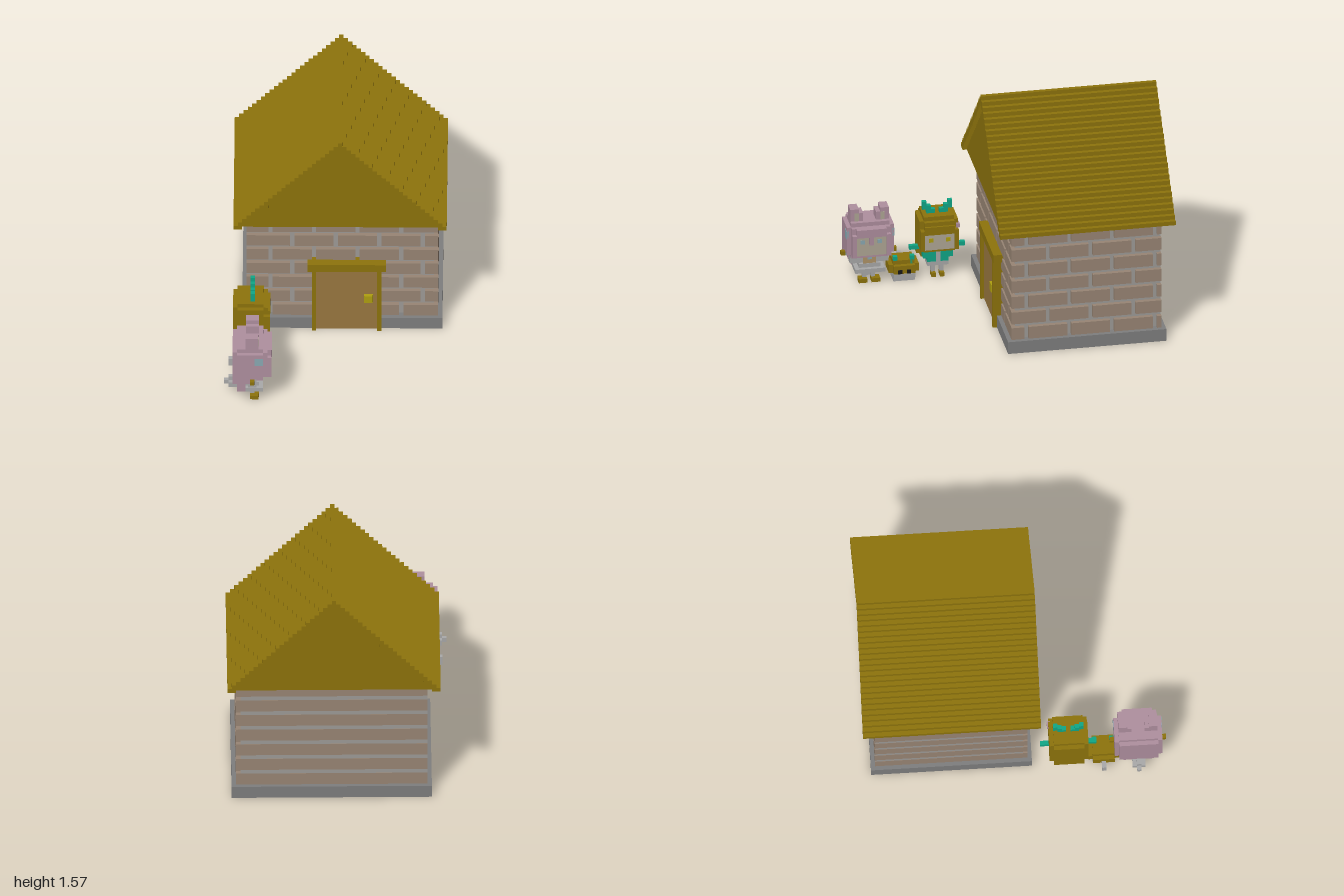
import * as THREE from 'three';

const V = 2 / 70; // size of one voxel; everything below is in voxel units

const mats = {};
for (const [name, color] of Object.entries({
  brick: 0x998675, mortar: 0x9f9c98, stone: 0x7f7f7f, gold: 0x8e740c, door: 0x9a7840,
  knob: 0xb0a010, pink: 0xb090a0, skin: 0xb0a896, green: 0x10a888, white: 0xaaaaaa,
  blue: 0x8aaab4, tan: 0xb09468, black: 0x181818,
})) mats[name] = new THREE.MeshStandardMaterial({ color, flatShading: true });

// Box given by its two limits along each axis
function box(parent, name, mat, x0, x1, y0, y1, z0, z1) {
  const mesh = new THREE.Mesh(new THREE.BoxGeometry(x1 - x0, y1 - y0, z1 - z0), mats[mat]);
  mesh.position.set((x0 + x1) / 2, (y0 + y1) / 2, (z0 + z1) / 2);
  mesh.name = name;
  parent.add(mesh);
}

// The same box on both sides of z = 0
function pair(parent, name, mat, x0, x1, y0, y1, z0, z1) {
  box(parent, name, mat, x0, x1, y0, y1, z0, z1);
  box(parent, name, mat, x0, x1, y0, y1, -z1, -z0);
}

// Voxel block with stepped edges, z from -w to w
function blob(parent, name, mat, x0, x1, y0, y1, w) {
  box(parent, name, mat, x0, x1, y0 + 1, y1 - 1, 1 - w, w - 1);
  box(parent, name, mat, x0 + 1, x1 - 1, y0, y1, 1 - w, w - 1);
  box(parent, name, mat, x0 + 1, x1 - 1, y0 + 1, y1 - 1, -w, w);
}

// Four walls around a rectangular room (inner limits 8..46 by 6..35)
function ring(parent, name, mat, x0, x1, y0, y1, z0, z1) {
  box(parent, name, mat, x0, x1, y0, y1, z0, 6);
  box(parent, name, mat, x0, x1, y0, y1, 35, z1);
  box(parent, name, mat, x0, 8, y0, y1, 6, 35);
  box(parent, name, mat, 46, x1, y0, y1, 6, 35);
}

function group(parent, name, z = 0) {
  const g = new THREE.Group();
  g.name = name;
  g.position.z = z;
  parent.add(g);
  return g;
}

function buildHouse(root) {
  const house = group(root, 'house');
  ring(house, 'foundation', 'stone', 4, 50, 0, 3, 2, 39);
  ring(house, 'mortarWall', 'mortar', 5, 48, 3, 30, 3, 37);

  // Raised bricks at the front and right, plain bands at the back and left
  for (let row = 0; row < 7; row++) {
    const y = 3 + row * 4, odd = row % 2;
    let start = 5;
    for (let end = odd ? 15 : 10; start < 49; end += 10) {
      box(house, 'frontBrick', 'brick', start, Math.min(end, 49), y, y + 3, 36.5, 38);
      start = end + 1;
    }
    start = 3;
    for (let end = odd ? 9 : 4; start < 38; end += 10) {
      box(house, 'sideBrick', 'brick', 47.5, 49, y, y + 3, start, Math.min(end, 38));
      start = end + 1;
    }
    box(house, 'backBand', 'brick', 4.96, 48.9, y, y + 3, 2.96, 3.5);
    box(house, 'leftBand', 'brick', 4.96, 5.5, y, y + 3, 2.96, 37.9);
  }

  // Door with frame, knobs and hinges
  box(house, 'door', 'door', 21, 35, 0, 17, 34.8, 39.15);
  for (const x of [20, 35]) box(house, 'doorJamb', 'gold', x, x + 1, 0, 17, 34.5, 40);
  box(house, 'doorLintel', 'gold', 19, 37, 17, 19, 34.5, 40);
  box(house, 'doorKnob', 'knob', 32, 34, 8, 10, 39, 40);
  box(house, 'innerKnob', 'knob', 32, 34, 8, 10, 34, 35);
  for (const y of [4, 12]) box(house, 'hinge', 'knob', 21, 22, y, y + 2, 34.4, 35);

  // Stepped roof over slightly recessed gables
  const roof = group(house, 'roof');
  for (let j = 0; j < 25; j++) {
    const x0 = 2 + j, x1 = 51 - j, y = 30 + j;
    if (j > 22) {
      box(roof, 'ridge', 'gold', x0, x1, y, y + 1, 0, 41);
      continue;
    }
    box(roof, 'roofStep', 'gold', x0, x0 + 2, y, y + 1, 0, 41);
    box(roof, 'roofStep', 'gold', x1 - 2, x1, y, y + 1, 0, 41);
    box(roof, 'gable', 'gold', x0 + 2, x1 - 2, y, y + 1, 1, 40);
  }
}

// Figures face +x
function buildLongHairedFigure(root) {
  const g = group(root, 'longHairedFigure', 63.5);
  blob(g, 'hair', 'pink', 2, 10, 7, 16, 5.5);
  blob(g, 'backHair', 'pink', 2, 6, 5, 13, 5.5);
  box(g, 'hairTips', 'pink', 3, 5, 3, 6, -3.5, 3.5);
  box(g, 'fringe', 'pink', 9.5, 11, 13, 15, -3.5, 3.5);
  box(g, 'fringeLock', 'pink', 10, 11, 11, 13, -0.5, 0.5);
  pair(g, 'sideLock', 'pink', 7, 11, 8, 13.5, 3.5, 4.5);
  box(g, 'face', 'skin', 9, 10.1, 8, 13, -3.5, 3.5);
  pair(g, 'eye', 'blue', 9.5, 10.2, 11, 12, 1.5, 2.5);
  pair(g, 'hairClip', 'blue', 7, 9, 12, 14, 5, 5.6);
  pair(g, 'ear', 'pink', 5, 8, 15, 18, 1.5, 4.5);
  pair(g, 'earTip', 'pink', 5, 8, 18, 19, 2.5, 4.5);
  pair(g, 'innerEar', 'skin', 7.5, 8.05, 16, 18, 2.5, 3.5);
  box(g, 'body', 'tan', 5, 8, 3, 8, -1.5, 1.5);
  box(g, 'collar', 'blue', 7, 8.1, 6, 8, -0.5, 0.5);
  pair(g, 'sleeve', 'white', 5.5, 7.5, 5, 8, 1.5, 4.5);
  pair(g, 'arm', 'blue', 6, 7, 7, 8, 4.5, 5.5);
  pair(g, 'hand', 'gold', 6, 7, 7, 8, 5.5, 6.5);
  box(g, 'skirt', 'white', 4, 9, 3, 4, -3.5, 3.5);
  box(g, 'skirtTop', 'white', 5, 8.1, 4, 5, -2.5, 2.5);
  pair(g, 'leg', 'white', 6, 7, 1, 3, 0.5, 1.5);
  pair(g, 'foot', 'gold', 6, 8, 0, 1, 0.5, 2.5);
  blob(g, 'tail', 'white', 0, 4, 2, 5, 1.5);
  box(g, 'tailBase', 'white', 3, 6, 1, 3, -0.5, 0.5);
}

function buildAntleredFigure(root) {
  const g = group(root, 'antleredFigure', 47.5);
  blob(g, 'hair', 'gold', 2, 10, 7, 16, 4.5);
  blob(g, 'backHair', 'gold', 2, 6, 4, 12, 4.5);
  box(g, 'fringe', 'gold', 9, 10.5, 12, 14, -3.5, 3.5);
  box(g, 'face', 'skin', 9, 10.1, 8, 12.5, -3.5, 3.5);
  pair(g, 'eye', 'knob', 9.5, 10.2, 10, 11, 1.5, 2.5);
  pair(g, 'sideLock', 'gold', 8, 10.5, 8, 13, 3.5, 4.4);
  box(g, 'hairPin', 'pink', 8, 9.5, 13, 14, -4.8, -4);
  // Antlers
  pair(g, 'antlerStem', 'green', 6, 7, 16, 17, 0.5, 2.5);
  pair(g, 'antlerBranch', 'green', 6, 7, 17, 18, 1.5, 3.5);
  pair(g, 'antlerTip', 'green', 6, 7, 18, 19, 2.5, 3.5);
  // Coat, arms and legs
  box(g, 'coat', 'green', 5, 8, 4, 8, -2.5, 2.5);
  box(g, 'shirt', 'white', 7, 8.1, 4, 8, -0.5, 0.5);
  pair(g, 'coatSide', 'green', 5, 8, 5, 7, 2.5, 3.5);
  pair(g, 'arm', 'green', 6, 7, 7, 8, 2.5, 5.5);
  pair(g, 'hand', 'green', 6, 7, 7, 8, 5.5, 6.5);
  box(g, 'skirt', 'white', 5, 8, 3, 4, -2.5, 2.5);
  pair(g, 'leg', 'white', 6, 7, 1, 3, 0.5, 1.5);
  pair(g, 'foot', 'gold', 6, 8, 0, 1, 0.5, 1.5);
}

function buildPet(root) {
  const g = group(root, 'pet', 55.5);
  blob(g, 'body', 'gold', 3, 9, 1, 5, 3.5);
  box(g, 'belly', 'white', 4, 8.5, 0, 2, -2.5, 2.5);
  box(g, 'muzzle', 'white', 8, 9.1, 1, 2, -2.5, 2.5);
  pair(g, 'eye', 'black', 8, 9.1, 2, 3, 0.5, 1.5);
  pair(g, 'ear', 'green', 7, 8, 4, 6, 1.5, 2.5);
  box(g, 'tail', 'white', 1, 4, 2, 3, -0.5, 0.5);
  box(g, 'tailTip', 'white', 1, 2, 3, 4, -0.5, 0.5);
}

export function createModel() {
  const model = new THREE.Group();
  const root = group(model, 'houseAndFigures');
  root.scale.setScalar(V);
  root.position.set(-25.5 * V, 0, -35 * V);
  buildHouse(root);
  buildLongHairedFigure(root);
  buildAntleredFigure(root);
  buildPet(root);
  return model;
}
